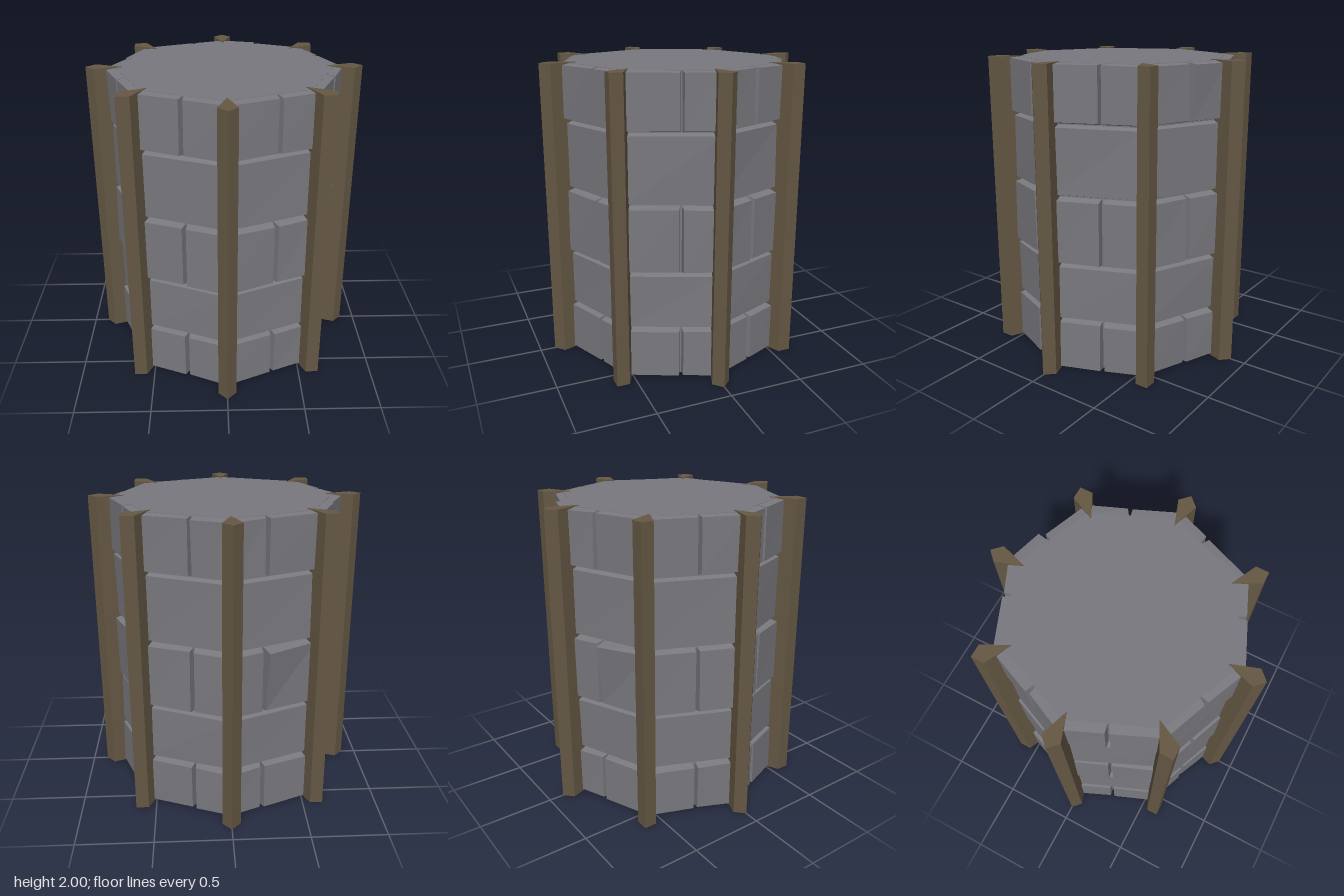
import * as THREE from 'three';

const SIDES = 8, STEP = Math.PI * 2 / SIDES;
const stone = new THREE.MeshStandardMaterial({ color: 0x79787e });
stone.name = 'stone grey';
const wood = new THREE.MeshStandardMaterial({ color: 0x655844 });
wood.name = 'weathered wood';

// small seeded jitter, -1..1
let seed = 11;
function jitter(amount) {
  seed = (seed * 16807) % 2147483647;
  return (seed / 2147483647 * 2 - 1) * amount;
}

// point on the octagon wall; u counts corners around from the front
function wallPoint(u, radius, y) {
  const k = Math.floor(u + 1e-6), t = u - k;
  const corner = i => new THREE.Vector3(Math.sin(i * STEP) * radius, y, Math.cos(i * STEP) * radius);
  return corner(k).lerp(corner(k + 1), t);
}

// one stone with bevelled edges, bent around a corner of the wall
function makeBlock(us, y0, y1, radius, bevel, pop = {}) {
  const last = us.length - 1, rings = [];
  us.forEach((u, i) => {
    const dir = i === 0 ? 1 : i === last ? -1 : 0;
    const out = level => radius + jitter(0.006) + (pop[i + level] || 0);
    rings.push({
      backLow: wallPoint(u + dir * 0.006, 0.70, y0),
      backHigh: wallPoint(u + dir * 0.006, 0.70, y1),
      low: wallPoint(u + dir * 0.024, out('low'), y0 + bevel.low + Math.abs(jitter(0.006))),
      high: wallPoint(u + dir * 0.024, out('high'), y1 - bevel.high - Math.abs(jitter(0.006))),
    });
  });
  const pos = [];
  const quad = (a, b, c, d) => [a, b, c, a, c, d].forEach(p => pos.push(p.x, p.y, p.z));
  for (let i = 0; i < last; i++) {
    const p = rings[i], q = rings[i + 1];
    quad(p.low, q.low, q.high, p.high);
    quad(p.high, q.high, q.backHigh, p.backHigh);
    quad(p.backLow, q.backLow, q.low, p.low);
  }
  const s = rings[0], e = rings[last];
  quad(s.backLow, s.low, s.high, s.backHigh);
  quad(e.low, e.backLow, e.backHigh, e.high);
  const geo = new THREE.BufferGeometry();
  geo.setAttribute('position', new THREE.Float32BufferAttribute(pos, 3));
  geo.computeVertexNormals();
  return new THREE.Mesh(geo, stone);
}

export function createModel() {
  const model = new THREE.Group();
  model.name = 'stonePillar';

  // solid core with flat top and bottom
  const coreGeo = new THREE.CylinderGeometry(0.715, 0.715, 1.992, SIDES).toNonIndexed();
  coreGeo.computeVertexNormals();
  const core = new THREE.Mesh(coreGeo, stone);
  core.name = 'core';
  core.position.y = 1;
  model.add(core);

  // stone courses: split rows wrap each corner, long rows span two faces
  const levels = [0.004, 0.345, 0.73, 1.175, 1.63, 1.996];
  const joints = [0.57, 0.61, 0.54, 0.56, 0.39, 0.54, 0.46, 0.51];
  for (let row = 0; row < 5; row++) {
    const course = new THREE.Group();
    course.name = 'stoneCourse' + (row + 1);
    const y0 = levels[row], y1 = levels[row + 1];
    const bevel = { low: row === 0 ? 0.006 : 0.014, high: row === 4 ? 0.006 : 0.014 };
    if (row % 2 === 0) {
      for (let k = 0; k < SIDES; k++) {
        const start = k - 1 + joints[(k + SIDES - 1) % SIDES];
        // two stones stand proud of the wall
        let pop = {};
        if (row === 4 && k === 4) pop = { '0high': 0.035, '0low': 0.015 };
        if (row === 2 && k === 5) pop = { '0high': 0.045 };
        const block = makeBlock([start, k, k + joints[k]], y0, y1, 0.773, bevel, pop);
        block.name = 'cornerBlock';
        course.add(block);
      }
    } else {
      for (let k = 1; k < SIDES; k += 2) {
        const block = makeBlock([k, k + 1, k + 2], y0, y1, 0.758, bevel);
        block.name = 'longBlock';
        course.add(block);
      }
    }
    model.add(course);
  }

  // pointed wooden posts at the corners
  const profile = new THREE.Shape([[0, 0.665], [0.06, 0.84], [0, 0.9], [-0.06, 0.84]]
    .map(([x, y]) => new THREE.Vector2(x, y)));
  const postGeo = new THREE.ExtrudeGeometry(profile, { depth: 2, bevelEnabled: false });
  postGeo.rotateX(-Math.PI / 2);
  for (let k = 0; k < SIDES; k++) {
    const post = new THREE.Mesh(postGeo, wood);
    post.name = 'post' + (k + 1);
    post.rotation.y = k * STEP;
    model.add(post);
  }
  return model;
}
